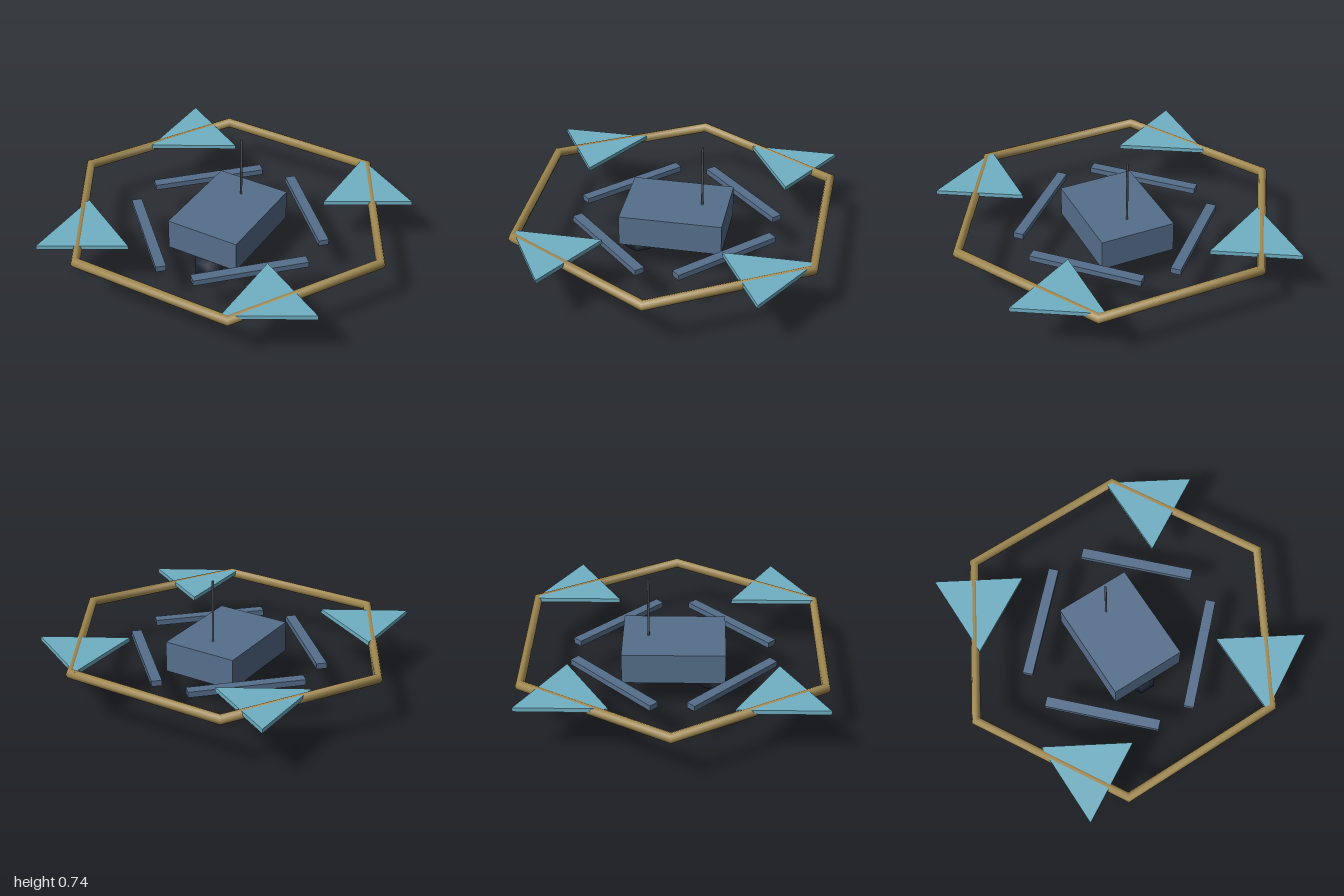
import * as THREE from 'three';

const paint = (name, color) => {
  const m = new THREE.MeshStandardMaterial({ color });
  m.name = name;
  return m;
};

export function createModel() {
  const slate = paint('slate blue', 0x566f8c);
  const brass = paint('brass', 0xa08850);
  const sky = paint('sky blue', 0x70b0c4);
  const navy = paint('dark navy', 0x1e2838);
  const steel = paint('dark steel', 0x555a66);

  const model = new THREE.Group();
  model.name = 'drone';
  const add = (name, geometry, material, x, y, z) => {
    const mesh = new THREE.Mesh(geometry, material);
    mesh.name = name;
    mesh.position.set(x, y, z);
    model.add(mesh);
    return mesh;
  };

  // Central body
  add('body', new THREE.BoxGeometry(0.446, 0.184, 0.594), slate, 0, 0.277, 0);

  // Hexagonal guard ring with corners on the x axis
  const ring = new THREE.TorusGeometry(0.97, 0.03, 8, 6).rotateX(Math.PI / 2);
  add('guardRing', ring, brass, 0, 0.331, 0);

  // Camera pod under the nose
  add('cameraPod', new THREE.SphereGeometry(0.1, 6, 3), navy, 0, 0.1, 0.228);

  // Antenna behind the centre
  add('antenna', new THREE.CylinderGeometry(0.0065, 0.0065, 0.38, 8), steel, 0, 0.553, -0.148);

  // Diagonal arms and triangular rotors, one pair per corner
  const arm = new THREE.BoxGeometry(0.667, 0.034, 0.06);
  const rotor = new THREE.CylinderGeometry(0.297, 0.297, 0.025, 3).rotateY(Math.PI / 2).toNonIndexed();
  rotor.computeVertexNormals();
  for (const sx of [-1, 1]) {
    for (const sz of [-1, 1]) {
      const corner = (sz > 0 ? 'front' : 'back') + (sx > 0 ? 'Left' : 'Right');
      add(corner + 'Arm', arm, slate, sx * 0.336, 0.258, sz * 0.336).rotation.y = sx * sz * Math.PI / 4;
      add(corner + 'Rotor', rotor, sky, sx * 0.595, 0.3435, sz * 0.595);
    }
  }
  return model;
}
